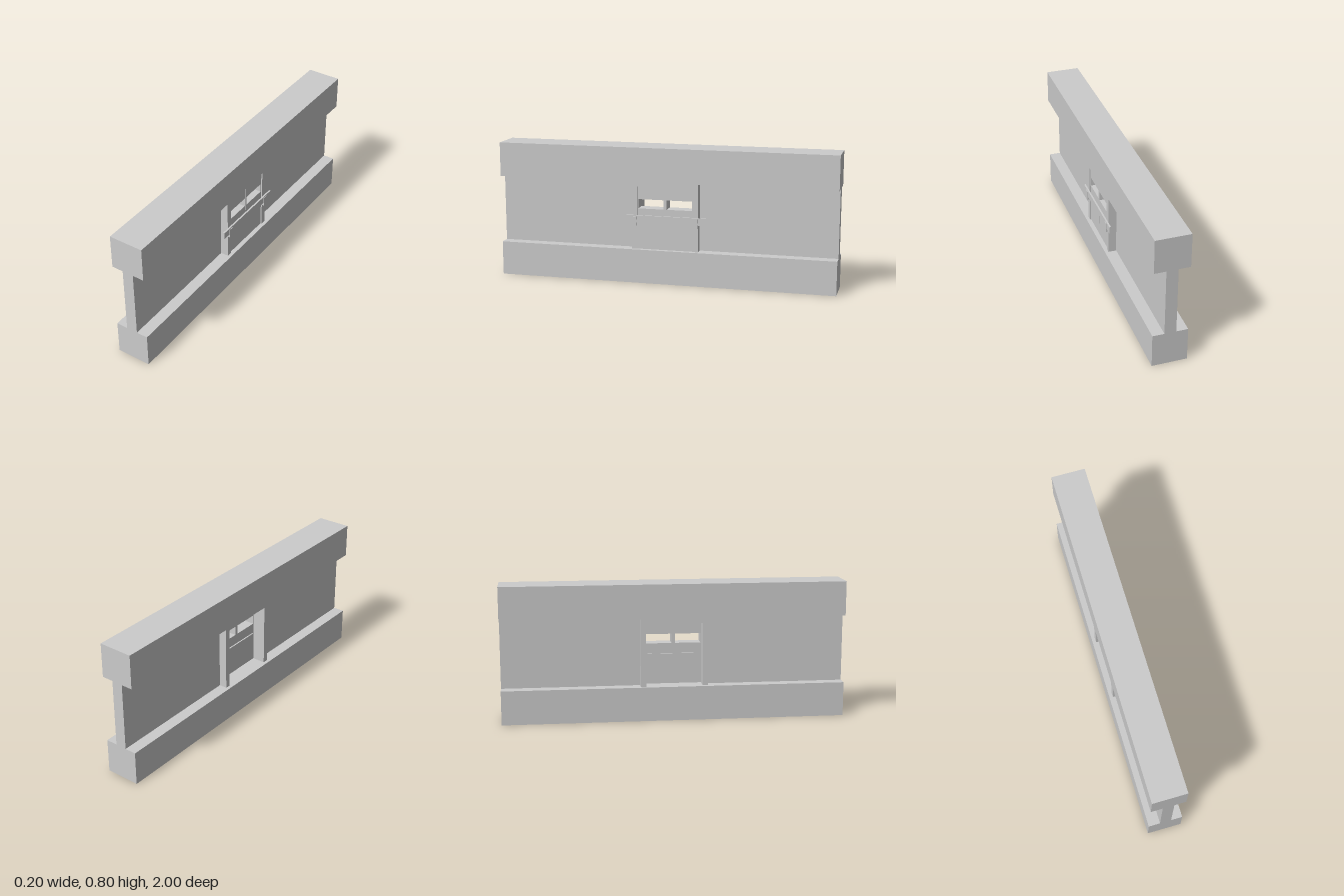
import * as THREE from 'three';

const material = new THREE.MeshStandardMaterial({ color: 0xcccccc, flatShading: true });

// Box given by its min and max on each axis
function box(parent, name, [x0, x1], [y0, y1], [z0, z1]) {
  const mesh = new THREE.Mesh(new THREE.BoxGeometry(x1 - x0, y1 - y0, z1 - z0), material);
  mesh.position.set((x0 + x1) / 2, (y0 + y1) / 2, (z0 + z1) / 2);
  mesh.name = name;
  parent.add(mesh);
  return mesh;
}

// Door leaf in the z-y plane with a window hole, extruded along x
function doorLeaf(z0, z1, w0, w1) {
  const rect = (Type, a, b, c, d) => {
    const path = new Type();
    path.moveTo(a, c);
    path.lineTo(b, c);
    path.lineTo(b, d);
    path.lineTo(a, d);
    path.closePath();
    return path;
  };
  const shape = rect(THREE.Shape, -z1, -z0, 0.2, 0.57);
  shape.holes.push(rect(THREE.Path, -w1, -w0, 0.44, 0.495));
  const geometry = new THREE.ExtrudeGeometry(shape, { depth: 0.075, bevelEnabled: false });
  geometry.rotateY(Math.PI / 2);
  geometry.translate(-0.002, 0, 0);
  return geometry;
}

export function createModel() {
  const model = new THREE.Group();
  model.name = 'wallWithDoor';

  // Thick floor and ceiling beams
  box(model, 'lowerBeam', [-0.1, 0.1], [0, 0.2], [-1, 1]);
  box(model, 'upperBeam', [-0.1, 0.1], [0.6, 0.8], [-1, 1]);

  // Frame lintel
  box(model, 'frameLintel', [-0.08, 0.08], [0.57, 0.6], [-0.165, 0.165]);

  for (const s of [1, -1]) {
    const span = (a, b) => (s > 0 ? [a, b] : [-b, -a]);
    box(model, 'wallPanel', [-0.033, 0.033], [0.2, 0.6], span(0.197, 1));
    box(model, 'framePost', [-0.08, 0.08], [0.2, 0.6], span(0.165, 0.197));

    // Door leaf with window
    const leaf = new THREE.Mesh(doorLeaf(...span(0.0008, 0.165), ...span(0.01, 0.16)), material);
    leaf.name = 'doorLeaf';
    model.add(leaf);

    // Hook that carries the bar
    const hook = new THREE.Group();
    hook.name = 'barHook';
    box(hook, 'hookBase', [0.08, 0.094], [0.34, 0.36], span(0.167, 0.195));
    box(hook, 'hookLip', [0.09, 0.094], [0.36, 0.396], span(0.167, 0.195));
    model.add(hook);
  }

  // Locking bar across the doors and the rails fixed to the leaves
  box(model, 'lockingBar', [0.08, 0.09], [0.36, 0.402], [-0.245, 0.245]);
  box(model, 'frontRail', [0.073, 0.079], [0.355, 0.38], [-0.11, 0.11]);
  box(model, 'backRail', [-0.01, -0.002], [0.355, 0.38], [-0.15, 0.15]);

  return model;
}
